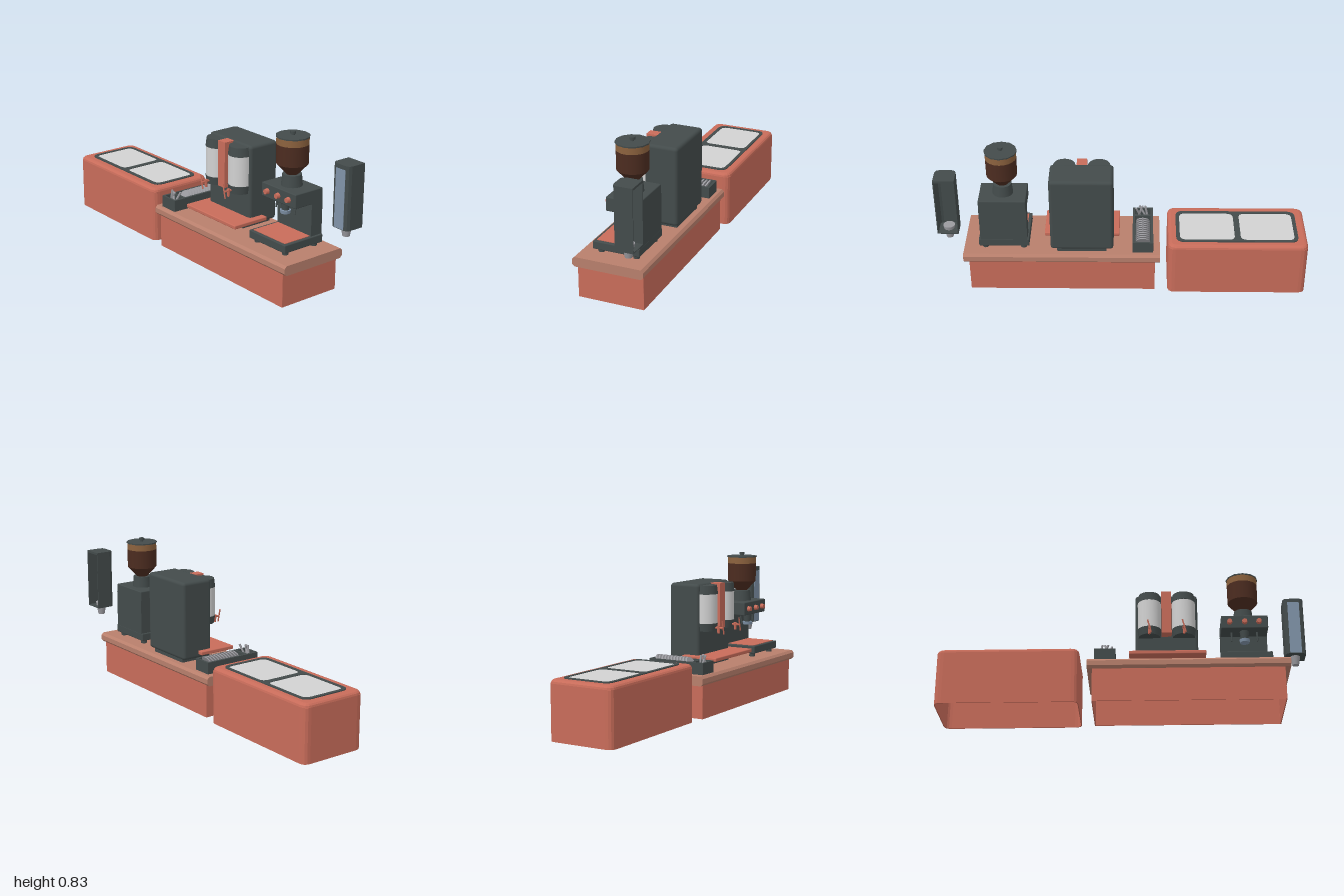
import * as THREE from 'three';
import { RoundedBoxGeometry } from 'three/addons/geometries/RoundedBoxGeometry.js';

const mat = (name, color) => {
  const m = new THREE.MeshStandardMaterial({ color });
  m.name = name;
  return m;
};

export function createModel() {
  const red = mat('brick red', 0xc86c5a), dark = mat('dark slate', 0x434b4b);
  const wood = mat('counter wood', 0xb87f6c), white = mat('frosted white', 0xd2d2d2);
  const beans = mat('coffee brown', 0x4c2c20), amber = mat('amber', 0x8c623e);
  const blue = mat('blue grey', 0x8093a8), metal = mat('metal grey', 0x9a9a9f);

  const model = new THREE.Group();
  model.name = 'snackCounter';
  const section = (name) => {
    const g = new THREE.Group();
    g.name = name;
    model.add(g);
    return g;
  };
  const add = (parent, name, geo, material, x = 0, y = 0, z = 0) => {
    const m = new THREE.Mesh(geo, material);
    m.name = name;
    m.position.set(x, y, z);
    parent.add(m);
    return m;
  };
  // Box from its limits; r rounds the edges
  const box = (parent, name, material, [x0, x1], [y0, y1], [z0, z1], r = 0) => {
    const s = [x1 - x0, y1 - y0, z1 - z0];
    const geo = r ? new RoundedBoxGeometry(...s, 2, r) : new THREE.BoxGeometry(...s);
    return add(parent, name, geo, material, (x0 + x1) / 2, (y0 + y1) / 2, (z0 + z1) / 2);
  };
  const cyl = (parent, name, material, rTop, rBottom, y0, y1, x, z, n = 16) =>
    add(parent, name, new THREE.CylinderGeometry(rTop, rBottom, y1 - y0, n), material, x, (y0 + y1) / 2, z);
  // Rounded rectangle in plan, from limits in x and z
  const plan = (Type, [x0, x1], [z0, z1], r) => {
    const s = new Type(), a = -z1, b = -z0;
    s.moveTo(x0 + r, a).lineTo(x1 - r, a).quadraticCurveTo(x1, a, x1, a + r);
    s.lineTo(x1, b - r).quadraticCurveTo(x1, b, x1 - r, b);
    s.lineTo(x0 + r, b).quadraticCurveTo(x0, b, x0, b - r);
    s.lineTo(x0, a + r).quadraticCurveTo(x0, a, x0 + r, a);
    return s;
  };
  const slab = (shape, depth, opts = {}) =>
    new THREE.ExtrudeGeometry(shape, { depth, bevelEnabled: false, curveSegments: 4, ...opts }).rotateX(-Math.PI / 2);
  // Thin upright wall, open above and below
  const wall = (parent, name, material, [x0, x1], [z0, z1], r, y0, y1, t = 0.005) => {
    const s = plan(THREE.Shape, [x0, x1], [z0, z1], r);
    s.holes.push(plan(THREE.Path, [x0 + t, x1 - t], [z0 + t, z1 - t], Math.max(r - t, 0.001)));
    return add(parent, name, slab(s, y1 - y0), material, 0, y0, 0);
  };

  // Chest freezer: open below, rounded rim, two sliding panes
  const freezer = section('freezer');
  wall(freezer, 'freezerWalls', red, [-1, -0.24], [-0.2, 0.18], 0.04, 0, 0.29);
  add(freezer, 'freezerTop', slab(plan(THREE.Shape, [-0.98, -0.26], [-0.18, 0.16], 0.025), 0.002,
    { bevelEnabled: true, bevelSize: 0.02, bevelThickness: 0.02, bevelSegments: 3 }), red, 0, 0.288, 0);
  const frame = plan(THREE.Shape, [-0.95, -0.285], [-0.157, 0.13], 0.045);
  const panes = [[-0.93, -0.637], [-0.605, -0.305]];
  for (const p of panes) {
    frame.holes.push(plan(THREE.Path, p, [-0.14, 0.11], 0.035));
    add(freezer, 'freezerPane', slab(plan(THREE.Shape, p, [-0.14, 0.11], 0.035), 0.002), white, 0, 0.31, 0);
  }
  add(freezer, 'freezerFrame', slab(frame, 0.006), dark, 0, 0.309, 0);

  // Counter: open base and chamfered worktop
  const counter = section('counter');
  wall(counter, 'counterBase', red, [-0.17, 0.847], [-0.177, 0.187], 0.001, 0, 0.185);
  const edge = new THREE.Shape([[-0.203, 0.196], [-0.19, 0.183], [0.176, 0.183], [0.189, 0.196],
    [0.189, 0.223], [0.176, 0.236], [-0.19, 0.236], [-0.203, 0.223]].map(([a, b]) => new THREE.Vector2(a, b)));
  add(counter, 'worktop', new THREE.ExtrudeGeometry(edge, { depth: 1.074, bevelEnabled: false })
    .rotateY(Math.PI / 2), wood, -0.197, 0, 0);

  // Lid and stirrer tray
  const tray = section('lidTray');
  const rim = plan(THREE.Shape, [-0.16, -0.047], [-0.158, 0.182], 0.002);
  rim.holes.push(plan(THREE.Path, [-0.147, -0.06], [-0.145, 0.1], 0.002));
  rim.holes.push(plan(THREE.Path, [-0.147, -0.06], [0.115, 0.17], 0.002));
  add(tray, 'trayWalls', slab(rim, 0.064), dark, 0, 0.237, 0);
  box(tray, 'trayFloor', dark, [-0.158, -0.049], [0.237, 0.25], [-0.156, 0.18]);
  for (let i = 0; i < 11; i++) {
    const lid = add(tray, 'lid', new THREE.CylinderGeometry(0.036, 0.04, 0.008, 14), metal, -0.103, 0.285, -0.118 + i * 0.019);
    lid.rotation.x = 1.05;
  }
  for (const [x, z, lean, tilt] of [[-0.125, 0.145, -0.2, 0], [-0.105, 0.15, -0.5, 0.1], [-0.08, 0.14, -0.35, -0.3], [-0.09, 0.155, 0.3, -0.2]]) {
    const s = add(tray, 'stirrer', new THREE.CylinderGeometry(0.006, 0.006, 0.085, 8), metal, x, 0.295, z);
    s.rotation.set(tilt, 0, lean);
  }

  // Twin-tank drink machine
  const drinks = section('drinkMachine');
  box(drinks, 'drinkFoot', dark, [0.095, 0.365], [0.236, 0.262], [-0.145, 0.04]);
  box(drinks, 'drinkBody', dark, [0.057, 0.4], [0.257, 0.695], [-0.162, 0.024], 0.018);
  box(drinks, 'dripTray', red, [0.025, 0.437], [0.279, 0.3], [-0.065, 0.155], 0.005);
  box(drinks, 'centreStrip', red, [0.201, 0.256], [0.44, 0.692], [0.01, 0.078]);
  for (const x of [0.135, 0.323]) {
    const z = 0.027;
    cyl(drinks, 'tankBottom', dark, 0.066, 0.06, 0.432, 0.476, x, z, 20);
    cyl(drinks, 'tank', white, 0.064, 0.064, 0.476, 0.638, x, z, 20);
    cyl(drinks, 'tankCap', dark, 0.06, 0.066, 0.638, 0.686, x, z, 20);
    cyl(drinks, 'tapSpout', red, 0.009, 0.007, 0.42, 0.462, x, 0.107, 10);
    const stem = cyl(drinks, 'tapStem', red, 0.006, 0.006, 0, 0.055, x, 0.109, 8);
    stem.position.y = 0.451;
    stem.rotation.x = Math.PI / 2;
    const handle = cyl(drinks, 'tapHandle', red, 0.004, 0.004, 0, 0.076, x, 0.136, 8);
    handle.position.y = 0.453;
    handle.rotation.z = 0.25;
  }

  // Coffee grinder: base, column, overhanging head
  const grinder = section('coffeeGrinder');
  const gx = 0.655, gz = -0.035;
  box(grinder, 'grinderBase', dark, [0.518, 0.793], [0.256, 0.3], [-0.13, 0.128], 0.005);
  box(grinder, 'grinderTray', red, [0.535, 0.776], [0.298, 0.303], [-0.055, 0.113]);
  box(grinder, 'grinderColumn', dark, [0.527, 0.783], [0.298, 0.5], [-0.13, -0.057]);
  box(grinder, 'grinderHead', dark, [0.527, 0.783], [0.473, 0.549], [-0.13, 0.055], 0.005);
  for (const x of [0.55, 0.76]) for (const z of [-0.1, 0.095])
    cyl(grinder, 'grinderFoot', dark, 0.017, 0.017, 0.236, 0.258, x, z, 10);
  for (const x of [0.573, 0.655, 0.733]) {
    const knob = cyl(grinder, 'grinderKnob', red, 0.013, 0.016, 0, 0.022, x, 0.063, 12);
    knob.position.y = 0.51;
    knob.rotation.x = Math.PI / 2;
  }
  cyl(grinder, 'grinderSpout', dark, 0.026, 0.02, 0.425, 0.475, gx, 0.004, 12);
  cyl(grinder, 'spoutRing', blue, 0.029, 0.026, 0.406, 0.424, gx, 0.005, 12);
  for (const x of [0.585, 0.725]) {
    const wand = cyl(grinder, 'grinderWand', dark, 0.006, 0.004, 0.415, 0.48, x, 0.0, 8);
    wand.rotation.x = -0.2;
  }
  cyl(grinder, 'hopperNeck', dark, 0.05, 0.056, 0.548, 0.61, gx, gz, 20);
  cyl(grinder, 'hopperFunnel', beans, 0.083, 0.03, 0.608, 0.666, gx, gz, 20);
  cyl(grinder, 'hopperBeans', beans, 0.084, 0.083, 0.666, 0.77, gx, gz, 20);
  cyl(grinder, 'hopperBand', amber, 0.084, 0.084, 0.77, 0.806, gx, gz, 20);
  cyl(grinder, 'hopperLid', dark, 0.088, 0.088, 0.806, 0.813, gx, gz, 12);
  cyl(grinder, 'lidStem', dark, 0.009, 0.009, 0.812, 0.823, gx, gz, 10);
  cyl(grinder, 'lidKnob', dark, 0.015, 0.015, 0.821, 0.834, gx, gz, 10);

  // Cup dispenser: shell open at the back, window and nozzle in front and below
  const cups = section('cupDispenser');
  const shell = (inset, r, Z0) => {
    const x0 = 0.887 + inset, x1 = 1 - inset, f = 0.09 + inset;
    return [[x0, Z0], [x0, f + r], [x0 + r * 0.3, f + r * 0.3], [x0 + r, f],
      [x1 - r, f], [x1 - r * 0.3, f + r * 0.3], [x1, f + r], [x1, Z0]].map(([a, b]) => new THREE.Vector2(a, b));
  };
  const outer = shell(0, 0.022, 0.198);
  add(cups, 'dispenserShell', slab(new THREE.Shape([...outer, ...shell(0.005, 0.018, 0.198).reverse()]), 0.325), dark, 0, 0.388, 0);
  add(cups, 'dispenserTop', slab(new THREE.Shape(outer), 0.004, { bevelEnabled: true, bevelSize: 0,
    bevelThickness: 0.004, bevelSegments: 1 }), dark, 0, 0.714, 0);
  add(cups, 'dispenserBottom', slab(new THREE.Shape(outer), 0.005), dark, 0, 0.385, 0);
  box(cups, 'dispenserWindow', blue, [0.911, 0.976], [0.388, 0.7], [-0.091, -0.0885]);
  cyl(cups, 'dispenserNozzle', metal, 0.032, 0.019, 0.335, 0.41, 0.943, -0.145, 14);

  return model;
}
